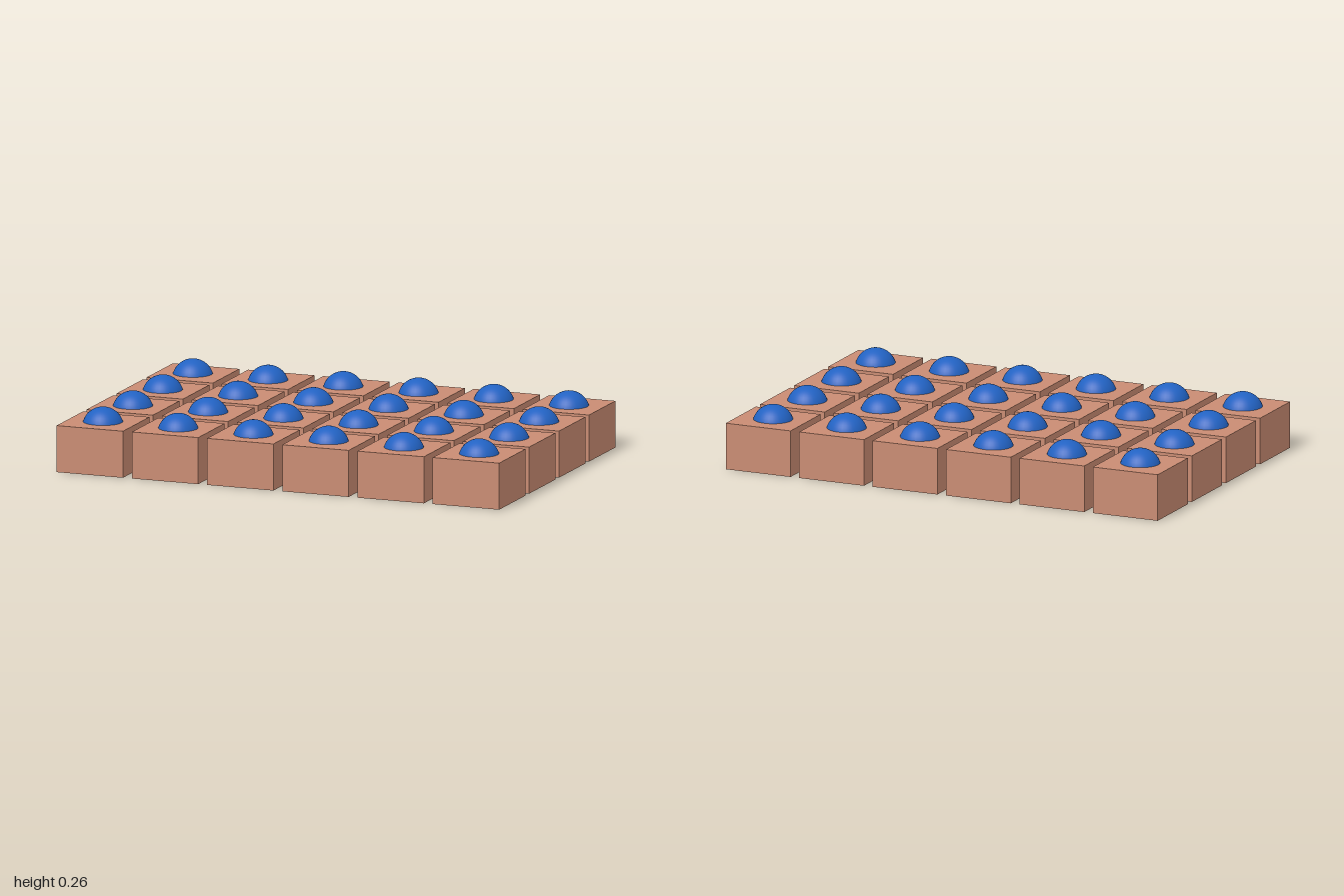
import * as THREE from 'three';

export function createModel() {
  const clay = new THREE.MeshStandardMaterial({ name: 'clay', color: 0xc98c73 });
  const blue = new THREE.MeshStandardMaterial({ name: 'blue', color: 0x2262c2 });

  const columns = 6, rows = 4;
  const pitch = 0.34, size = 0.3, height = 0.2;
  const blockGeometry = new THREE.BoxGeometry(size, height, size);
  const ballGeometry = new THREE.SphereGeometry(0.088, 32, 24);

  const model = new THREE.Group();
  model.name = 'blockGrid';

  for (let row = 0; row < rows; row++) {
    for (let column = 0; column < columns; column++) {
      const cell = new THREE.Group();
      cell.name = `cell_${row + 1}_${column + 1}`;
      cell.position.set((column - (columns - 1) / 2) * pitch, 0, (row - (rows - 1) / 2) * pitch);

      // Square block standing on the ground
      const block = new THREE.Mesh(blockGeometry, clay);
      block.name = 'block';
      block.position.y = height / 2;

      // Ball sunk into the top of the block
      const ball = new THREE.Mesh(ballGeometry, blue);
      ball.name = 'ball';
      ball.position.y = 0.174;

      cell.add(block, ball);
      model.add(cell);
    }
  }
  return model;
}
